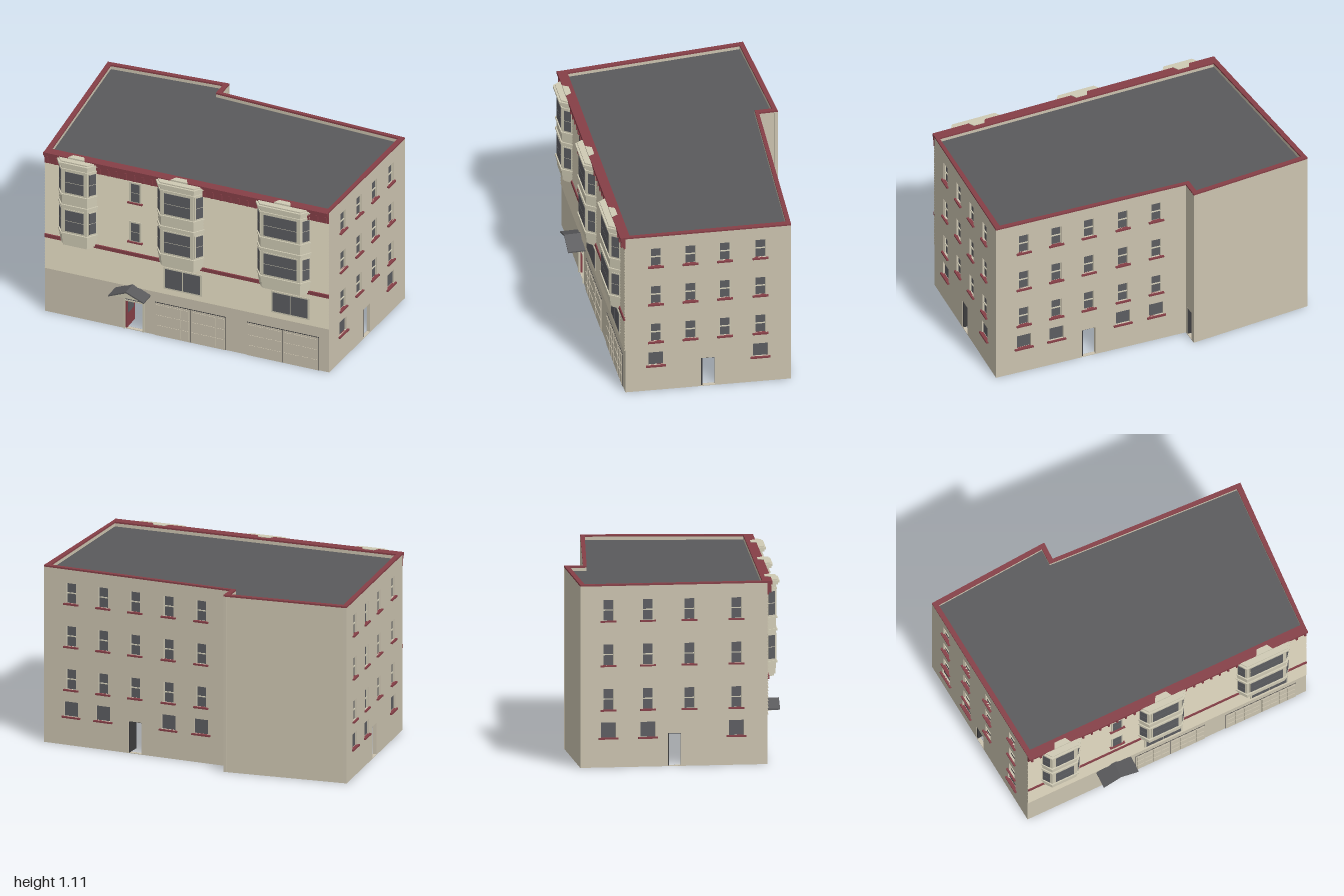
import * as THREE from 'three';

const mat = (name, color, side = THREE.FrontSide) => {
  const m = new THREE.MeshStandardMaterial({ color, side });
  m.name = name;
  return m;
};

export function createModel() {
  const M = {
    wall: mat('stucco', 0xcbc3af),
    siding: mat('siding', 0xd2cab3),
    trim: mat('trim', 0xcfcab4),
    red: mat('red trim', 0x863f47),
    glass: mat('glass', 0x5c5d61, THREE.DoubleSide),
    roof: mat('roofing', 0x5a5a5c),
    inside: mat('interior', 0xb4b4b5, THREE.DoubleSide),
    dark: mat('dark doors', 0x3c3c3e),
  };
  const model = new THREE.Group();
  model.name = 'building';

  const add = (parent, name, geo, m) => {
    const mesh = new THREE.Mesh(geo, m);
    mesh.name = name;
    parent.add(mesh);
    return mesh;
  };
  // box given by its minimum and maximum corners
  const box = (parent, name, m, x0, x1, y0, y1, z0, z1) =>
    add(parent, name, new THREE.BoxGeometry(x1 - x0, y1 - y0, z1 - z0), m)
      .position.set((x0 + x1) / 2, (y0 + y1) / 2, (z0 + z1) / 2);
  const toShape = (pts) => new THREE.Shape(pts.map(([x, z]) => new THREE.Vector2(x, -z)));
  // horizontal slab from a plan outline [x, z]
  const slab = (parent, name, m, pts, y, h, hole) => {
    const s = toShape(pts);
    if (hole) s.holes.push(toShape(hole));
    const g = new THREE.ExtrudeGeometry(s, { depth: h, bevelEnabled: false });
    g.rotateX(-Math.PI / 2);
    g.translate(0, y, 0);
    return add(parent, name, g, m);
  };
  // group whose local x runs from plan point a to b and whose z points outward
  const place = (parent, name, a, b) => {
    const g = new THREE.Group();
    g.name = name;
    g.position.set(a[0], 0, a[1]);
    g.rotation.y = Math.atan2(a[1] - b[1], b[0] - a[0]);
    g.userData.len = Math.hypot(b[0] - a[0], b[1] - a[1]);
    parent.add(g);
    return g;
  };
  const rect = (x0, x1, y0, y1, Type = THREE.Path) =>
    new Type([[x0, y0], [x1, y0], [x1, y1], [x0, y1]].map((p) => new THREE.Vector2(...p)));

  const H = 1.1, T = 0.022;
  const outer = [[-0.915, 0.54], [0.945, 0.54], [1, -0.465], [-0.225, -0.525], [-0.225, -0.64], [-1, -0.59]];
  const inner = [[-0.885, 0.51], [0.925, 0.51], [0.965, -0.44], [-0.255, -0.505], [-0.255, -0.61], [-0.968, -0.562]];

  // wall panel with recessed sash windows [u, y0, width, height] and open doorways [u0, u1, height]
  function buildWall(name, i, windows, doors) {
    const g = place(model, name, outer[i], outer[(i + 1) % 6]);
    const L = g.userData.len;
    const shape = rect(0, L, 0, H, THREE.Shape);
    const lining = rect(0.002, L - 0.002, 0.001, H - 0.03, THREE.Shape);
    for (const [u0, u1, h] of doors) {
      shape.holes.push(rect(u0, u1, 0.004, h));
      lining.holes.push(rect(u0, u1, 0.004, h));
    }
    for (const [u, y, w, h] of windows) {
      const l = u - w / 2, r = u + w / 2;
      shape.holes.push(rect(l, r, y, y + h));
      box(g, 'windowGlass', M.glass, l, r, y, y + h, -0.016, -0.012);
      if (h > 0.1) {
        box(g, 'sashRail', M.trim, l, r, y + h * 0.5 - 0.003, y + h * 0.5 + 0.003, -0.012, -0.006);
        for (const x of [l, r - 0.004]) box(g, 'sashStile', M.trim, x, x + 0.004, y, y + h, -0.012, -0.006);
      }
      box(g, 'windowSill', M.red, l - 0.015, r + 0.015, y - 0.01, y, -0.01, 0.012);
    }
    add(g, 'wallPanel', new THREE.ExtrudeGeometry(shape, { depth: T, bevelEnabled: false }), M.wall).position.z = -T;
    add(g, 'wallLining', new THREE.ShapeGeometry(lining), M.inside).position.z = -T - 0.001;
    return g;
  }
  const rows = [0.35, 0.62, 0.89];
  const grid = (cols, ground) => [
    ...cols.flatMap((u) => rows.map((y) => [u, y, 0.066, 0.126])),
    ...ground.map((u) => [u, 0.18, 0.09, 0.092]),
  ];
  const sideDoor = (g, u0, u1) => {
    box(g, 'openDoor', M.dark, u0, u0 + 0.008, 0.004, 0.195, -T - (u1 - u0) + 0.008, -0.004);
    box(g, 'doorHead', M.dark, u0, u1, 0.196, 0.2, -T, -0.004);
  };

  const front = buildWall('frontWall', 0, [], [[0.525, 0.645, 0.195]]);
  sideDoor(buildWall('rightSideWall', 1, grid([0.185, 0.395, 0.605, 0.82], [0.185, 0.82]), [[0.46, 0.545, 0.2]]), 0.46, 0.545);
  sideDoor(buildWall('backWall', 2, grid([0.18, 0.39, 0.6, 0.82, 1.035], [0.18, 0.39, 0.82, 1.035]), [[0.557, 0.643, 0.2]]), 0.557, 0.643);
  sideDoor(buildWall('notchWall', 3, [], [[0.015, 0.085, 0.2]]), 0.015, 0.085);
  buildWall('rearBlankWall', 4, [], []);
  sideDoor(buildWall('leftSideWall', 5, grid([0.17, 0.41, 0.66, 0.945], [0.17, 0.41, 0.945]), [[0.53, 0.61, 0.2]]), 0.53, 0.61);
  front.userData = {};

  // roof deck, parapet and red coping
  slab(model, 'roofDeck', M.roof, inner, 1.07, 0.01);
  slab(model, 'parapet', M.wall, outer, 1.07, 0.03, inner);
  slab(model, 'coping', M.red, outer, H, 0.01, inner);

  // lap siding as one sawtooth profile drawn across the front
  const saw = [new THREE.Vector2(0, 0.3)], boards = 36, pitch = 0.73 / boards;
  for (let i = 0; i < boards; i++) {
    saw.push(new THREE.Vector2(-0.007, 0.3 + i * pitch), new THREE.Vector2(-0.001, 0.3 + (i + 1) * pitch));
  }
  saw.push(new THREE.Vector2(0, 1.03));
  const sid = new THREE.ExtrudeGeometry(new THREE.Shape(saw), { depth: 1.86, bevelEnabled: false });
  sid.rotateY(Math.PI / 2);
  add(model, 'lapSiding', sid, M.siding).position.set(-0.915, 0, 0.54);

  // red belt course and bracketed cornice
  box(model, 'beltCourse', M.red, -0.915, 0.945, 0.515, 0.538, 0.54, 0.552);
  box(model, 'corniceFrieze', M.red, -0.915, 0.945, 1.03, 1.09, 0.54, 0.55);
  box(model, 'corniceBed', M.red, -0.915, 0.945, 1.072, 1.09, 0.54, 0.56);
  box(model, 'corniceCrown', M.red, -0.915, 0.945, 1.09, 1.11, 0.54, 0.57);
  for (let x = -0.9; x < 0.94; x += 0.057) box(model, 'corniceBracket', M.red, x, x + 0.012, 1.037, 1.08, 0.545, 0.564);

  // flat windows on the front
  function frontWindow(x0, x1, y0, y1, cols, sashes) {
    box(model, 'windowFrame', M.trim, x0 - 0.008, x1 + 0.008, y0 - 0.008, y1 + 0.008, 0.54, 0.55);
    const w = (x1 - x0) / cols, h = (y1 - y0) / sashes;
    for (let c = 0; c < cols; c++)
      for (let r = 0; r < sashes; r++)
        box(model, 'windowGlass', M.glass, x0 + c * w + 0.003, x0 + (c + 1) * w - 0.003,
          y0 + r * h + 0.002, y0 + (r + 1) * h - 0.002, 0.549, 0.552);
  }
  frontWindow(-0.128, 0.107, 0.345, 0.477, 2, 1);
  frontWindow(0.577, 0.812, 0.345, 0.477, 2, 1);
  for (const y of [0.62, 0.89]) {
    frontWindow(-0.352, -0.29, y, y + 0.125, 1, 2);
    box(model, 'windowSill', M.red, -0.37, -0.272, y - 0.012, y - 0.003, 0.54, 0.56);
  }

  // two-storey angled bays
  function buildBay(cx, hw) {
    const bay = new THREE.Group();
    bay.name = 'bayWindow';
    bay.position.x = cx;
    model.add(bay);
    const plan = (o) => [[-hw - o, 0.54], [-hw + 0.045 - o * 0.6, 0.6 + o], [hw - 0.045 + o * 0.6, 0.6 + o], [hw + o, 0.54]];
    slab(bay, 'bayBody', M.trim, plan(0), 0.56, 0.53);
    // mouldings: bottom, height, overhang
    for (const [y, h, o] of [[0.515, 0.012, -0.012], [0.527, 0.033, -0.004], [0.596, 0.012, 0.008], [0.79, 0.012, 0.008],
      [0.865, 0.01, 0.008], [1.04, 0.01, 0.006], [1.07, 0.012, 0.012], [1.082, 0.014, 0.02]])
      slab(bay, 'bayMoulding', M.trim, plan(o), y, h);
    // small raised cap running back over the cornice
    slab(bay, 'bayCap', M.trim, plan(0.008), 1.096, 0.008);
    slab(bay, 'bayCapRidge', M.trim, [[-0.035, 0.535], [-0.055, 0.572], [0.055, 0.572], [0.035, 0.535]], 1.1, 0.014);
    const p = plan(0);
    for (let i = 0; i < 3; i++) {
      const f = place(bay, 'bayFace', p[i], p[i + 1]);
      const L = f.userData.len, m = i === 1 ? 0.022 : 0.014;
      for (const y of [0.622, 0.888]) {
        box(f, 'baySash', M.trim, m - 0.006, L - m + 0.006, y - 0.006, y + 0.15, 0, 0.003);
        for (const k of [0, 1])
          box(f, 'bayGlass', M.glass, m, L - m, y + k * 0.073, y + k * 0.073 + 0.069, 0.002, 0.005);
      }
    }
  }
  buildBay(-0.697, 0.127);
  buildBay(-0.024, 0.152);
  buildBay(0.652, 0.174);

  // panelled garage doors, each of two leaves
  function buildGarage(x0, x1) {
    box(model, 'garageGap', M.dark, x0, x1, 0, 0.228, 0.54, 0.542);
    const w = (x1 - x0) / 2, n = 4, m = 3;
    for (let k = 0; k < 2; k++) {
      const a = x0 + k * w + 0.002, b = a + w - 0.004;
      box(model, 'garageLeaf', M.wall, a, b, 0, 0.224, 0.54, 0.544);
      for (let c = 0; c < n; c++)
        for (let r = 0; r < m; r++) {
          const px = a + 0.008 + c * (b - a - 0.008) / n, py = 0.012 + r * 0.07;
          box(model, 'garagePanel', M.wall, px, px + (b - a - 0.008) / n - 0.008, py, py + 0.06, 0.543, 0.547);
        }
    }
  }
  buildGarage(-0.195, 0.27);
  buildGarage(0.408, 0.878);

  // front entrance: casing, transom, open red door
  for (const x of [-0.4, -0.276]) box(model, 'doorCasing', M.trim, x, x + 0.01, 0, 0.235, 0.54, 0.547);
  box(model, 'transomBar', M.trim, -0.39, -0.276, 0.194, 0.202, 0.535, 0.547);
  box(model, 'transomGlass', M.glass, -0.39, -0.276, 0.202, 0.23, 0.54, 0.543);
  box(model, 'entranceDoor', M.red, -0.39, -0.38, 0.004, 0.194, 0.42, 0.536);
  box(model, 'entranceDoorGlass', M.glass, -0.392, -0.378, 0.1, 0.18, 0.435, 0.52);

  // gabled canopy on brackets
  const cx = -0.34;
  const gable = (hw, y0, y1, depth, hole) => {
    const s = new THREE.Shape([[-hw, y0], [hw, y0], [0, y1]].map((q) => new THREE.Vector2(...q)));
    return new THREE.ExtrudeGeometry(s, { depth, bevelEnabled: false });
  };
  add(model, 'canopyPediment', gable(0.095, 0.262, 0.304, 0.09), M.trim).position.set(cx, 0, 0.54);
  const slopes = new THREE.Shape([[-0.116, 0.258], [0, 0.306], [0.116, 0.258], [0.116, 0.266], [0, 0.316], [-0.116, 0.266]]
    .map((q) => new THREE.Vector2(...q)));
  add(model, 'canopyRoof', new THREE.ExtrudeGeometry(slopes, { depth: 0.105, bevelEnabled: false }), M.roof).position.set(cx, 0, 0.54);
  for (const x of [cx - 0.062, cx + 0.05]) {
    box(model, 'canopyBracket', M.trim, x, x + 0.012, 0.245, 0.263, 0.54, 0.598);
    box(model, 'canopyBracketFoot', M.trim, x, x + 0.012, 0.225, 0.245, 0.54, 0.57);
  }
  return model;
}
